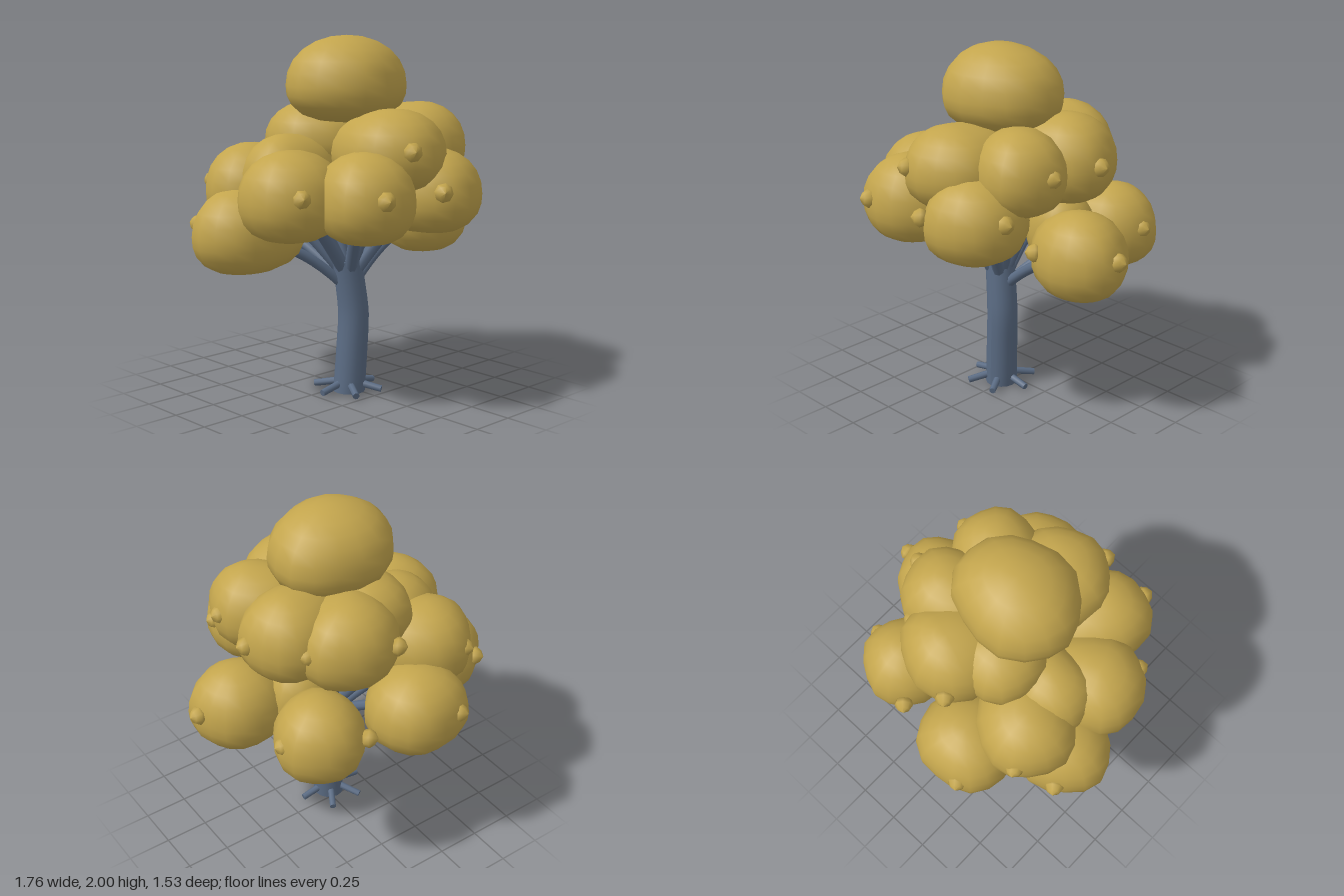
import * as THREE from 'three';
import { mergeVertices } from 'three/addons/utils/BufferGeometryUtils.js';

const V = (x, y, z) => new THREE.Vector3(x, y, z);

// Gently uneven ball with a domed top, fuller underside and smooth normals; the
// half facing the tree's axis is drawn out by `stretch` along (inX, inZ)
function puffGeometry(seed, [a, up, down, c], inX = 0, inZ = 0, stretch = 1) {
  const g = new THREE.SphereGeometry(1, 16, 12);
  g.deleteAttribute('uv');
  g.deleteAttribute('normal');
  const geo = mergeVertices(g, 1e-4);
  const p = geo.attributes.position;
  for (let i = 0; i < p.count; i++) {
    const v = V(0, 0, 0).fromBufferAttribute(p, i);
    const power = v.y > 0 ? 2.1 : 2.5;
    const h = Math.hypot(v.x, v.z);
    const r = Math.pow(Math.pow(h, power) + Math.pow(Math.abs(v.y), power), -1 / power);
    const ang = Math.atan2(v.z, v.x);
    const wobble = 1 + 0.025 * h * (Math.sin(3 * ang + seed) + Math.sin(5 * ang + 2 * seed));
    const x = v.x * r * wobble * a;
    const z = v.z * r * wobble * c;
    const pull = Math.max(0, x * inX + z * inZ) * (stretch - 1);
    p.setXYZ(i, x + inX * pull, v.y * r * (v.y > 0 ? up : down), z + inZ * pull);
  }
  geo.computeVertexNormals();
  return geo;
}

export function createModel() {
  const foliage = new THREE.MeshStandardMaterial({ color: 0xc3a54d });
  foliage.name = 'goldFoliage';
  const bark = new THREE.MeshStandardMaterial({ color: 0x5b6c84 });
  bark.name = 'blueGreyBark';

  const tree = new THREE.Group();
  tree.name = 'tree';
  const add = (name, geometry, material) => {
    const m = new THREE.Mesh(geometry, material);
    m.name = name;
    tree.add(m);
    return m;
  };

  // Foliage puffs: centre x, y, z, half sizes x, y, z, then inward stretch
  const puffs = [
    // low ring
    [0.575, 0.965, 0.08, 0.26, 0.235, 0.245, 1.1],
    [0.375, 0.965, -0.41, 0.245, 0.235, 0.25, 1.1],
    [-0.2, 0.965, -0.515, 0.285, 0.235, 0.26, 1.1],
    [-0.59, 0.965, -0.17, 0.285, 0.235, 0.26, 1.2],
    // middle ring
    [-0.3, 1.18, 0.48, 0.265, 0.24, 0.265, 1.4],
    [0.2, 1.175, 0.49, 0.27, 0.23, 0.265, 1.4],
    [-0.54, 1.18, 0.16, 0.265, 0.24, 0.27, 1.4],
    [-0.43, 1.18, -0.28, 0.27, 0.24, 0.265, 1.4],
    [-0.38, 1.25, -0.05, 0.26, 0.23, 0.22, 1.3],
    // upper ring
    [-0.02, 1.4, 0.42, 0.29, 0.22, 0.265, 1.5],
    [0.32, 1.41, 0.28, 0.25, 0.225, 0.245, 1.5],
    [0.33, 1.42, -0.08, 0.265, 0.24, 0.255, 1.5],
    [0.11, 1.405, -0.31, 0.28, 0.24, 0.24, 1.5],
    [-0.11, 1.44, -0.14, 0.25, 0.2, 0.26, 1.2],
    // inner fill
    [0.27, 1.0, -0.09, 0.2, 0.22, 0.18, 1],
  ];
  puffs.forEach(([x, y, z, a, b, c, stretch], i) => {
    const d = Math.hypot(x, z);
    const geo = puffGeometry(i * 1.7, [a, b + 0.02, b - 0.02, c], -x / d, -z / d, stretch);
    add('foliagePuff', geo, foliage).position.set(x, y - 0.02, z);
  });

  // Crown cap: tall dome above a shallower underside
  const capGeo = puffGeometry(2.4, [0.355, 0.27, 0.2, 0.305]);
  add('crownCap', capGeo, foliage).position.set(-0.035, 1.73, 0.06);

  // Buds: position on the foliage, pointed tip away from the centre of their puff
  const budProfile = [[0, -0.05], [0.044, -0.03], [0.052, 0], [0.034, 0.028], [0, 0.046]];
  const budGeo = new THREE.LatheGeometry(budProfile.map(([r, y]) => new THREE.Vector2(r, y)), 8);
  const buds = [
    [0.83, 0.99, 0.07, 0], [0.42, 0.99, 0.28, 0],
    [0.6, 0.99, -0.4, 1], [0.19, 0.99, -0.61, 1],
    [-0.33, 0.99, -0.725, 2], [-0.73, 0.99, -0.385, 3],
    [-0.39, 1.2, 0.72, 4], [0.03, 1.2, 0.72, 5], [0.45, 1.21, 0.51, 5],
    [-0.65, 1.2, 0.38, 6], [-0.54, 1.2, -0.5, 7],
    [-0.14, 1.42, 0.66, 9], [0.55, 1.42, 0.27, 10],
    [0.59, 1.42, -0.05, 11], [0.38, 1.42, -0.31, 12], [-0.06, 1.42, -0.515, 12],
  ];
  for (const [x, y, z, k] of buds) {
    const out = V(x - puffs[k][0], 0.03, z - puffs[k][2]).normalize();
    const m = add('bud', budGeo, foliage);
    m.position.set(x, y, z);
    m.quaternion.setFromUnitVectors(V(0, 1, 0), out);
  }

  // Trunk: rings that follow a gentle bend
  const bend = new THREE.CatmullRomCurve3([
    V(-0.03, 0, 0.075), V(-0.016, 0.25, 0.083), V(-0.008, 0.45, 0.087),
    V(-0.022, 0.6, 0.08), V(-0.045, 0.76, 0.07),
  ]);
  const trunkGeo = new THREE.CylinderGeometry(0.083, 0.09, 1, 16, 12);
  const tp = trunkGeo.attributes.position;
  for (let i = 0; i < tp.count; i++) {
    const c = bend.getPoint(tp.getY(i) + 0.5);
    tp.setXYZ(i, tp.getX(i) + c.x, c.y, tp.getZ(i) + c.z);
  }
  trunkGeo.computeVertexNormals();
  add('trunk', trunkGeo, bark);

  // Branches: arching from the trunk into the foliage rings
  puffs.slice(0, 14).forEach(([x, y, z], i) => {
    const low = i < 4;
    const start = V(-0.03, low ? 0.58 : 0.64, 0.075);
    const end = V(x * 0.75, y - 0.08, z * 0.75);
    const mid = start.clone().lerp(end, 0.5);
    mid.y += low ? 0.09 : 0.03;
    const path = new THREE.QuadraticBezierCurve3(start, mid, end);
    add('branch', new THREE.TubeGeometry(path, 8, low ? 0.03 : 0.035, 8), bark);
  });

  // Roots: short pegs around the foot
  for (let i = 0; i < 6; i++) {
    const a = (i / 6) * Math.PI * 2;
    const dir = V(Math.cos(a), -0.2, Math.sin(a)).normalize();
    const m = add('root', new THREE.CylinderGeometry(0.019, 0.021, 0.16, 8), bark);
    m.position.set(-0.035 + Math.cos(a) * 0.118, 0.04, 0.07 + Math.sin(a) * 0.118);
    m.quaternion.setFromUnitVectors(V(0, 1, 0), dir);
  }
  return tree;
}
